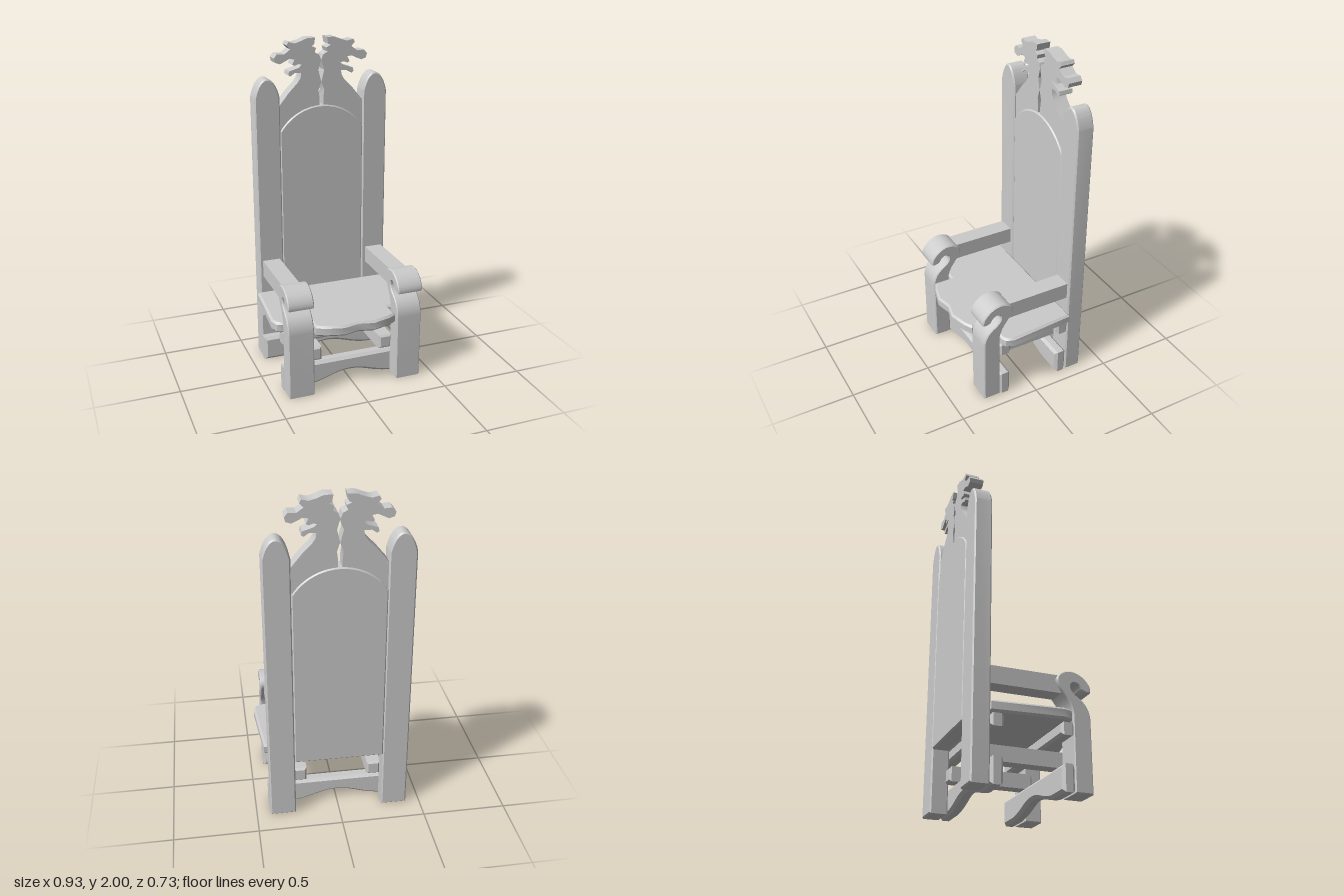
import * as THREE from 'three';
import { toCreasedNormals } from 'three/addons/utils/BufferGeometryUtils.js';

const material = new THREE.MeshStandardMaterial({ color: 0xcccccc, side: THREE.DoubleSide });

const polygon = (points) => new THREE.Shape(points.map(([x, y]) => new THREE.Vector2(x, y)));

// Centred slab cut from a shape, with chamfered rims that stay inside the outline
function slab(shape, depth, bevel) {
  const geometry = new THREE.ExtrudeGeometry(shape, {
    depth: depth - 2 * bevel,
    bevelEnabled: bevel > 0,
    bevelSize: bevel,
    bevelThickness: bevel,
    bevelOffset: -bevel,
    bevelSegments: 1,
    curveSegments: 16,
  });
  geometry.translate(0, 0, -(depth - 2 * bevel) / 2);
  return geometry;
}

// Bar with chamfered edges, given by its limits on each axis
function bar([x0, x1], [y0, y1], [z0, z1], bevel = 0.012) {
  const w = (x1 - x0) / 2, h = (y1 - y0) / 2;
  const geometry = slab(polygon([[-w, -h], [w, -h], [w, h], [-w, h]]), z1 - z0, bevel);
  return geometry.translate((x0 + x1) / 2, (y0 + y1) / 2, (z0 + z1) / 2);
}

export function createModel() {
  const chair = new THREE.Group();
  chair.name = 'highBackChair';

  function add(name, geometry) {
    const mesh = new THREE.Mesh(toCreasedNormals(geometry, 0.5), material);
    mesh.name = name;
    chair.add(mesh);
    return mesh;
  }

  // Adds a part on the left (+x) and its mirror image on the right
  function addPair(name, geometry) {
    add(name + 'Left', geometry);
    add(name + 'Right', geometry).scale.x = -1;
  }

  // Back posts with rounded points
  const post = new THREE.Shape();
  post.moveTo(-0.077, 0);
  post.lineTo(0.077, 0);
  post.lineTo(0.077, 1.665);
  post.bezierCurveTo(0.06, 1.74, 0.03, 1.778, 0, 1.778);
  post.bezierCurveTo(-0.03, 1.778, -0.06, 1.74, -0.077, 1.665);
  addPair('backPost', slab(post, 0.105, 0.008).translate(0.34, 0, -0.3125));

  // Back panel with an arched top
  const panel = new THREE.Shape();
  panel.moveTo(-0.264, 0.37);
  panel.lineTo(0.264, 0.37);
  panel.lineTo(0.264, 1.46);
  panel.absarc(0, 1.289, 0.311, 0.582, Math.PI - 0.582, false);
  panel.lineTo(-0.264, 1.46);
  add('backPanel', slab(panel, 0.1, 0.007).translate(0, 0, -0.315));

  // Carved beast heads, back to back on the panel
  const beast = polygon([
    [0.012, 1.55], [0.262, 1.42], [0.262, 1.615], [0.2, 1.69], [0.15, 1.74], [0.13, 1.77],
    [0.125, 1.8], [0.165, 1.8], [0.193, 1.782], [0.205, 1.79], [0.2, 1.812], [0.14, 1.83],
    [0.122, 1.847], [0.14, 1.852], [0.165, 1.843], [0.18, 1.85], [0.165, 1.88], [0.196, 1.885], [0.254, 1.857],
    [0.284, 1.867], [0.291, 1.892], [0.272, 1.915], [0.228, 1.912], [0.19, 1.94],
    [0.212, 1.963], [0.202, 1.982], [0.164, 1.973], [0.127, 1.983], [0.085, 2], [0.037, 2],
    [0.044, 1.96], [0.06, 1.953], [0.032, 1.94], [0.04, 1.915], [0.012, 1.9], [0.001, 1.87],
    [0.018, 1.81], [0.001, 1.74], [0.018, 1.69], [0.012, 1.64],
  ]);
  addPair('crestBeast', slab(beast, 0.084, 0).translate(0, 0, -0.315));

  // Front legs curling forward into a scroll; the profile runs in z and y
  const leg = new THREE.Shape();
  leg.moveTo(0.21, 0);
  leg.lineTo(0.313, 0);
  leg.lineTo(0.313, 0.4);
  leg.bezierCurveTo(0.313, 0.45, 0.295, 0.495, 0.25, 0.525);
  leg.bezierCurveTo(0.21, 0.55, 0.195, 0.575, 0.203, 0.598);
  leg.bezierCurveTo(0.215, 0.622, 0.25, 0.61, 0.262, 0.58);
  leg.bezierCurveTo(0.28, 0.56, 0.3, 0.56, 0.318, 0.565);
  leg.bezierCurveTo(0.33, 0.61, 0.27, 0.675, 0.205, 0.677);
  leg.bezierCurveTo(0.16, 0.677, 0.122, 0.65, 0.12, 0.62);
  leg.bezierCurveTo(0.125, 0.56, 0.21, 0.52, 0.21, 0.42);
  addPair('frontLeg', slab(leg, 0.156, 0.006).rotateY(-Math.PI / 2).translate(0.34, 0, 0));

  // Armrests
  addPair('armrest', bar([0.288, 0.396], [0.548, 0.65], [-0.28, 0.16], 0.008));

  // Seat board, notched around the front legs, with a scalloped front edge
  const half = [
    [0.093, 0.364], [0.2, 0.335], [0.25, 0.308], [0.25, 0.2], [0.42, 0.2],
    [0.448, 0.185], [0.466, 0.14], [0.436, -0.264],
  ];
  const outline = [[0, 0.342], ...half, ...half.map(([x, z]) => [-x, z]).reverse()];
  add('seat', slab(polygon(outline), 0.065, 0.012).rotateX(Math.PI / 2).translate(0, 0.41, 0));

  // Arched stretcher profile
  const arch = new THREE.Shape();
  arch.moveTo(0.42, 0);
  arch.lineTo(0.42, 0.152);
  arch.lineTo(-0.42, 0.152);
  arch.lineTo(-0.42, 0);
  arch.lineTo(-0.27, 0);
  arch.bezierCurveTo(-0.14, 0.015, -0.1, 0.058, 0, 0.058);
  arch.bezierCurveTo(0.1, 0.058, 0.14, 0.015, 0.27, 0);

  // Rails under the seat and arched stretchers near the floor, front and back
  for (const [name, z] of [['front', 0.175], ['back', -0.223]]) {
    add(name + 'SeatRail', bar([-0.422, 0.422], [0.306, 0.38], [z - 0.038, z + 0.038], 0.014));
    add(name + 'Stretcher', slab(arch, 0.075, 0.017).translate(0, 0, z));
  }

  // Side stretchers
  addPair('sideStretcher', bar([0.185, 0.268], [0.17, 0.258], [-0.28, 0.225]));

  return chair;
}
